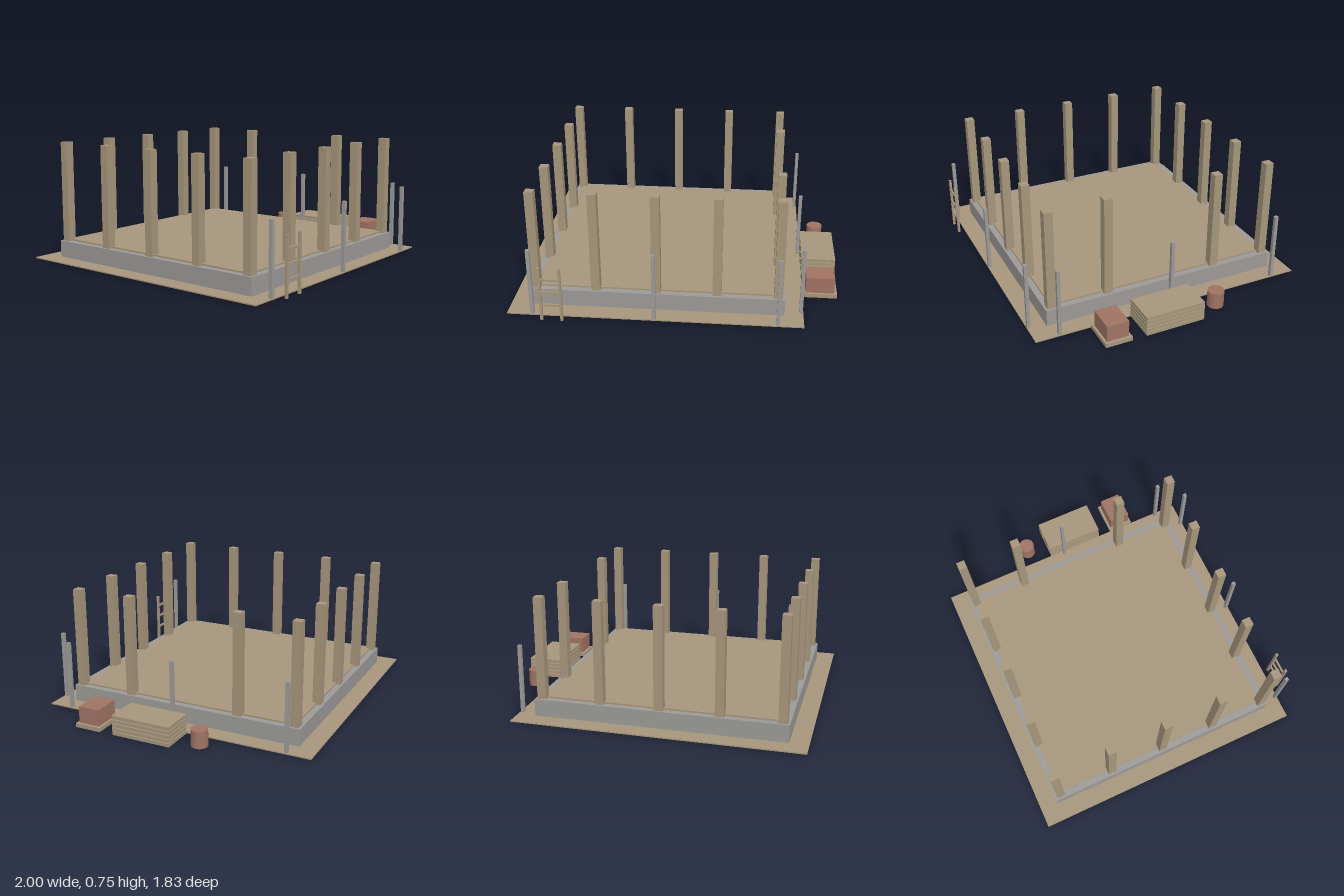
import * as THREE from 'three';

export function createModel() {
  const model = new THREE.Group();
  model.name = 'constructionSite';

  const material = (name, color) => {
    const m = new THREE.MeshStandardMaterial({ color });
    m.name = name;
    return m;
  };
  const timber = material('timber', 0xa6967b);
  const concrete = material('concrete', 0x9b9a97);
  const brick = material('brick', 0xa07463);

  // Box given by its extents on each axis
  const box = (name, mat, [x0, x1], [y0, y1], [z0, z1], parent = model) => {
    const mesh = new THREE.Mesh(new THREE.BoxGeometry(x1 - x0, y1 - y0, z1 - z0), mat);
    mesh.position.set((x0 + x1) / 2, (y0 + y1) / 2, (z0 + z1) / 2);
    mesh.name = name;
    parent.add(mesh);
  };
  const group = (name) => {
    const g = new THREE.Group();
    g.name = name;
    model.add(g);
    return g;
  };
  const around = (c, size) => [c - size / 2, c + size / 2];

  // Post lines of the building
  const xs = [-0.844, -0.475, -0.107, 0.262, 0.63];
  const zs = [-0.764, -0.396, -0.027, 0.341, 0.71];
  const [xMin, xMax, zMin, zMax] = [xs[0], xs[4], zs[0], zs[4]];
  const half = 0.041;

  // Ground sheet and raised floor
  box('ground', timber, [-1, 0.785], [0.001, 0.008], [-0.92, 0.865]);
  box('floor', timber, [xMin, xMax], [0.105, 0.125], [zMin, zMax]);

  // Foundation walls, a rectangular ring
  const walls = group('foundation');
  const wallY = [0, 0.115];
  for (const z of [zMin, zMax]) {
    box('foundationWall', concrete, [xMin - half, xMax + half], wallY, around(z, 2 * half), walls);
  }
  for (const x of [xMin, xMax]) {
    box('foundationWall', concrete, around(x, 2 * half), wallY, [zMin + half, zMax - half], walls);
  }

  // Timber posts on the perimeter, with a doorway in the middle of the left side
  const posts = group('posts');
  xs.forEach((x, i) => zs.forEach((z, j) => {
    const onEdge = i % 4 === 0 || j % 4 === 0;
    const doorway = i === 4 && j === 2;
    if (onEdge && !doorway) box('post', timber, around(x, 0.054), [0.115, 0.755], around(z, 0.054), posts);
  }));

  // Scaffold poles along the front and left side
  const poles = group('scaffoldPoles');
  for (const i of [0, 2, 4]) {
    box('scaffoldPole', concrete, around(xs[i], 0.022), [0, 0.44], around(0.853, 0.022), poles);
    box('scaffoldPole', concrete, around(0.77, 0.022), [0, 0.44], around(zs[i], 0.022), poles);
  }

  // Ladder at the front
  const ladder = group('ladder');
  for (const x of [-0.775, -0.653]) {
    box('ladderRail', timber, around(x, 0.016), [0, 0.35], around(0.904, 0.016), ladder);
  }
  for (const y of [0.102, 0.188, 0.273]) {
    box('ladderRung', timber, [-0.768, -0.66], around(y, 0.013), around(0.904, 0.012), ladder);
  }

  // Stack of boards
  const stack = group('boardStack');
  for (let i = 0; i < 5; i++) {
    const y = 0.002 + i * 0.026;
    box('board', timber, [0.785, 1], [y, y + 0.021], [-0.13, 0.256], stack);
  }

  // Bricks on a pallet
  box('pallet', timber, [0.785, 1], [0, 0.026], [0.347, 0.518]);
  box('brickPile', brick, [0.805, 0.982], [0.026, 0.131], [0.363, 0.503]);

  // Barrel
  const barrel = new THREE.Mesh(new THREE.CylinderGeometry(0.052, 0.052, 0.106, 20), brick);
  barrel.name = 'barrel';
  barrel.position.set(0.892, 0.053, -0.272);
  model.add(barrel);

  return model;
}
